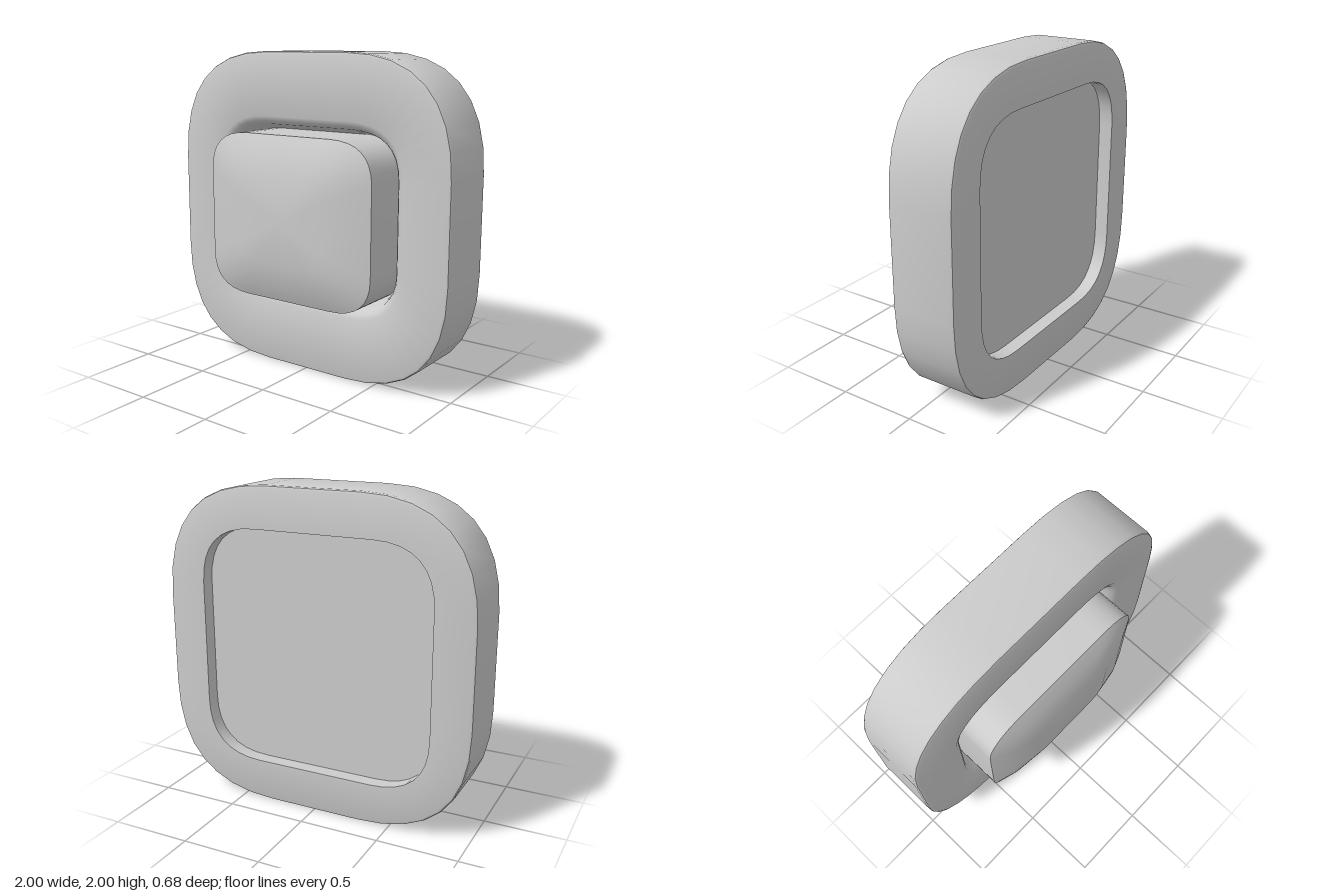
import * as THREE from 'three';
import { toCreasedNormals } from 'three/addons/utils/BufferGeometryUtils.js';

const SEG = 8; // segments per soft corner

// Soft-cornered rectangle: half sizes hx, hy; corners begin at sx, sy
function ring([hx, hy, sx, sy, z]) {
  const quarter = [];
  for (let i = 0; i <= SEG; i++) {
    const t = i / SEG, a = (1 - t) * (1 - t), b = 2 * t * (1 - t), c = t * t;
    quarter.push([hx * (a + b) + sx * c, sy * a + hy * (b + c)]);
  }
  const mirrored = [...quarter].reverse();
  return [
    ...quarter,
    ...mirrored.map(([x, y]) => [-x, y]),
    ...quarter.map(([x, y]) => [-x, -y]),
    ...mirrored.map(([x, y]) => [x, -y]),
  ].map(([x, y]) => new THREE.Vector3(x, y, z));
}

// Skin a list of cross-sections, with optional flat ends
function loft(sections, capStart, capEnd) {
  const rings = sections.map(ring), n = rings[0].length, pos = [];
  const tri = (...pts) => pts.forEach((p) => pos.push(p.x, p.y, p.z));
  const first = rings[0], last = rings[rings.length - 1];
  const c0 = new THREE.Vector3(0, 0, first[0].z);
  const c1 = new THREE.Vector3(0, 0, last[0].z);
  for (let j = 0; j < n; j++) {
    const k = (j + 1) % n;
    for (let i = 0; i < rings.length - 1; i++) {
      const a = rings[i], b = rings[i + 1];
      tri(a[j], a[k], b[k]);
      tri(a[j], b[k], b[j]);
    }
    if (capStart) tri(c0, first[k], first[j]);
    if (capEnd) tri(c1, last[j], last[k]);
  }
  const geo = new THREE.BufferGeometry();
  geo.setAttribute('position', new THREE.Float32BufferAttribute(pos, 3));
  return toCreasedNormals(geo, THREE.MathUtils.degToRad(40));
}

export function createModel() {
  const group = new THREE.Group();
  group.name = 'pushButton';
  const material = new THREE.MeshStandardMaterial({ color: 0xcccccc });
  const add = (name, geometry) => {
    const mesh = new THREE.Mesh(geometry, material);
    mesh.name = name;
    mesh.position.y = 1;
    group.add(mesh);
  };

  // Frame: back recess, outer wall with eased edges, front face, groove
  const outer = (inset, z) => [1 - inset, 1 - inset, 0.3, 0.3, z];
  const groove = (grow, z) => [0.6 + grow, 0.51 + grow, 0.31, 0.27, z];
  add('frame', loft([
    [0.75, 0.74, 0.38, 0.38, -0.25],
    [0.75, 0.74, 0.38, 0.38, -0.34],
    outer(0.02, -0.34), outer(0.006, -0.334), outer(0, -0.32),
    outer(0, 0.06), outer(0.006, 0.074), outer(0.02, 0.08),
    groove(0.09, 0.075), groove(0.06, 0.062), groove(0.04, 0.035),
    groove(0.025, -0.02), groove(0, -0.1),
  ], true, false));

  // Button: straight sides and a shallow domed face
  const button = (s, z) => [0.597 * s, 0.512 * s, 0.31 * s, 0.27 * s, z];
  add('button', loft([
    button(1, -0.1), button(1, 0.253), button(0.83, 0.296), button(0.525, 0.34),
  ], false, true));

  return group;
}
